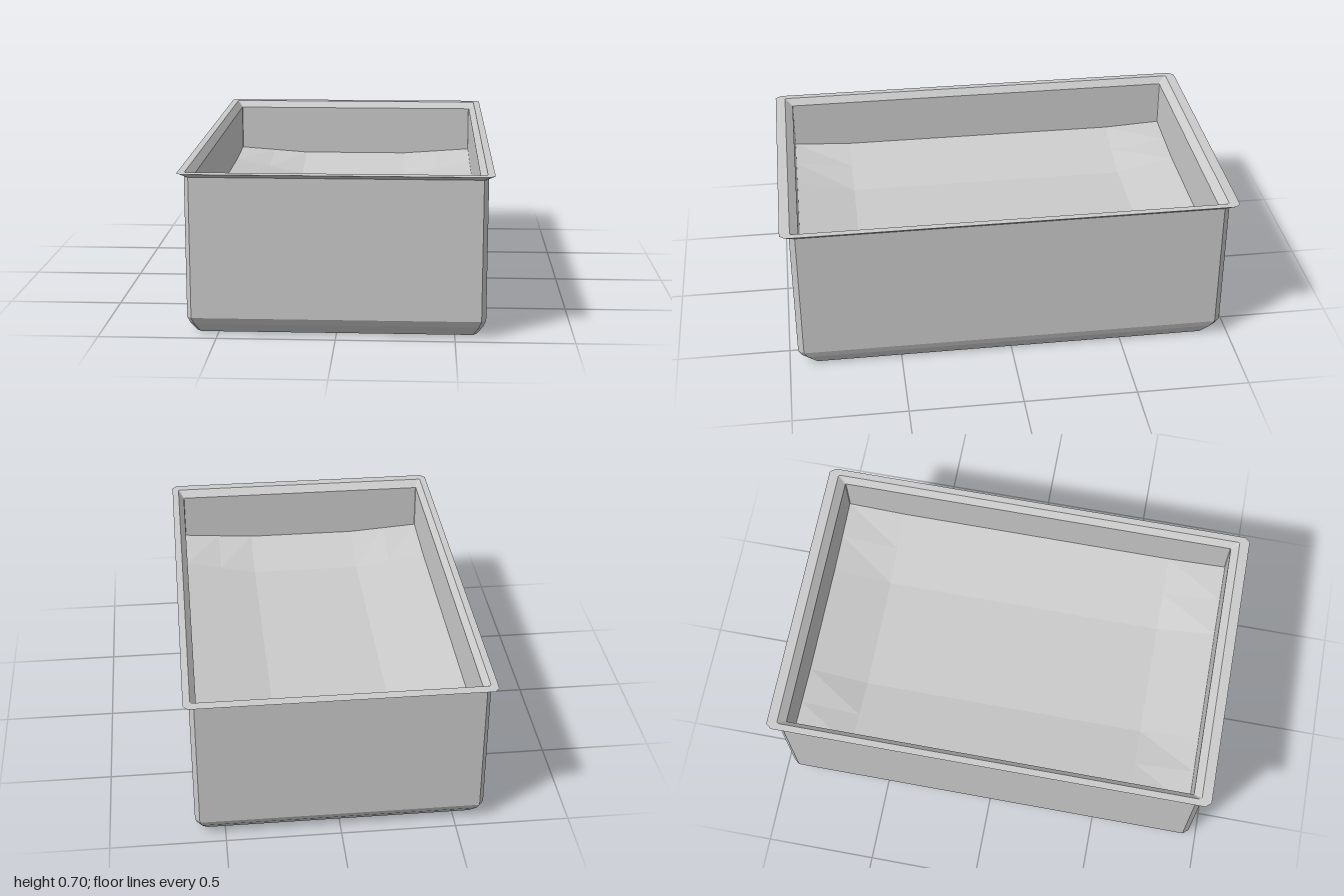
import * as THREE from 'three';

const material = new THREE.MeshStandardMaterial({ color: 0xcccccc, flatShading: true, side: THREE.DoubleSide });

// Rectangle with cut corners, counter-clockwise seen from the front of the x-z plane
function loop([hx, hz, y, c]) {
  const cz = c * 1.25;
  return [
    [hx, y, hz - cz], [hx, y, -hz + cz], [hx - c, y, -hz], [-hx + c, y, -hz],
    [-hx, y, -hz + cz], [-hx, y, hz - cz], [-hx + c, y, hz], [hx - c, y, hz],
  ];
}

function buildMesh(name, positions, indices) {
  const indexed = new THREE.BufferGeometry();
  indexed.setAttribute('position', new THREE.Float32BufferAttribute(positions, 3));
  indexed.setIndex(indices);
  const geometry = indexed.toNonIndexed();
  geometry.computeVertexNormals();
  const mesh = new THREE.Mesh(geometry, material);
  mesh.name = name;
  return mesh;
}

// Skin between successive cut-corner loops, optionally closing the first one
function skin(name, sections, capFirst = false) {
  const positions = sections.flatMap(loop).flat();
  const indices = [];
  for (let s = 0; s < sections.length - 1; s++) {
    for (let i = 0; i < 8; i++) {
      const a = s * 8 + i, b = s * 8 + (i + 1) % 8;
      indices.push(a, b, b + 8, a, b + 8, a + 8);
    }
  }
  if (capFirst) for (let i = 1; i < 7; i++) indices.push(0, i + 1, i);
  return buildMesh(name, positions, indices);
}

// Shallow dished floor: flat in the middle, rising to the walls
function dishedFloor() {
  const xs = [-0.6, -0.43, -0.26, 0, 0.26, 0.43, 0.6];
  const zs = [-0.92, -0.65, -0.33, 0, 0.33, 0.65, 0.92];
  const positions = [], indices = [];
  for (const z of zs) {
    for (const x of xs) {
      const g = Math.min(1, (0.6 - Math.abs(x)) / 0.34);
      const h = Math.min(1, (0.92 - Math.abs(z)) / 0.27);
      positions.push(x, 0.455 - 0.025 * g - 0.015 * h - 0.045 * g * h, z);
    }
  }
  const n = xs.length;
  for (let j = 0; j < zs.length - 1; j++) {
    for (let i = 0; i < n - 1; i++) {
      const a = j * n + i;
      indices.push(a, a + n, a + 1, a + 1, a + n, a + n + 1);
    }
  }
  return buildMesh('dishedFloor', positions, indices);
}

export function createModel() {
  const group = new THREE.Group();
  group.name = 'tray';

  // Outer shell with a bevelled foot: half width, half length, height, corner cut
  group.add(skin('outerShell', [
    [0.595, 0.90, 0, 0.018], [0.62, 0.943, 0.045, 0.02],
    [0.63, 0.96, 0.075, 0.02], [0.63, 0.96, 0.68, 0.02],
  ], true));

  // Flared lip, flat on top and bevelled towards the inside
  group.add(skin('rim', [
    [0.63, 0.96, 0.68, 0.02], [0.655, 1, 0.7, 0.02],
    [0.625, 0.955, 0.7, 0.006], [0.6, 0.92, 0.67, 0.002],
  ]));

  // Inner walls down to the floor
  group.add(skin('innerWalls', [[0.6, 0.92, 0.67, 0.002], [0.6, 0.92, 0.41, 0.002]]));
  group.add(dishedFloor());

  return group;
}
